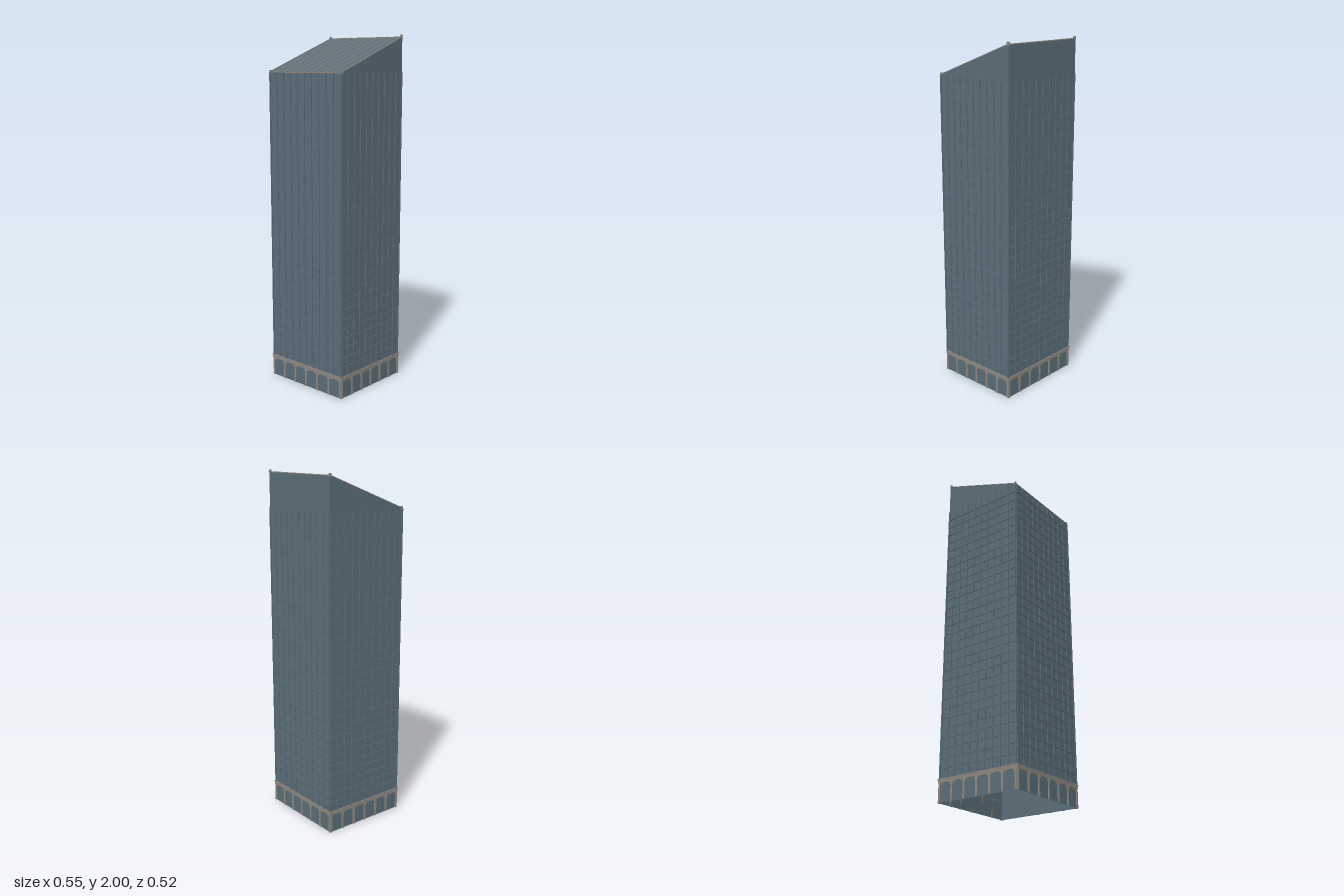
import * as THREE from 'three';

const material = (name, color, side = THREE.FrontSide) => {
  const m = new THREE.MeshStandardMaterial({ color, side });
  m.name = name;
  return m;
};

export function createModel() {
  const glass = material('blue grey glass', 0x5a6d78, THREE.DoubleSide);
  const stone = material('grey stone', 0x8d8880);

  const X = 0.27, Z = 0.255;          // half width and half depth of the walls
  const BASE = 0.125, EAVE = 1.795, RIDGE = 1.988;
  const tower = new THREE.Group();
  tower.name = 'tower';

  const add = (parent, name, geometry, mat, x = 0, y = 0, z = 0) => {
    const mesh = new THREE.Mesh(geometry, mat);
    mesh.name = name;
    mesh.position.set(x, y, z);
    parent.add(mesh);
  };
  const box = (parent, name, w, h, d, mat, x, y, z) =>
    add(parent, name, new THREE.BoxGeometry(w, h, d), mat, x, y, z);

  // Flat quad from four corners, counter-clockwise from outside
  const quad = (name, ...corners) => {
    const g = new THREE.BufferGeometry();
    g.setAttribute('position', new THREE.Float32BufferAttribute(corners.flat(), 3));
    g.setIndex([0, 1, 2, 0, 2, 3]);
    g.computeVertexNormals();
    add(tower, name, g, glass);
  };

  // Hollow glass shell, open underneath, with a sloping roof
  quad('frontWall', [-X, 0, Z], [X, 0, Z], [X, EAVE, Z], [-X, EAVE, Z]);
  quad('backWall', [X, 0, -Z], [-X, 0, -Z], [-X, RIDGE, -Z], [X, RIDGE, -Z]);
  quad('leftWall', [X, 0, Z], [X, 0, -Z], [X, RIDGE, -Z], [X, EAVE, Z]);
  quad('rightWall', [-X, 0, -Z], [-X, 0, Z], [-X, EAVE, Z], [-X, RIDGE, -Z]);
  quad('roof', [-X, EAVE, Z], [X, EAVE, Z], [X, RIDGE, -Z], [-X, RIDGE, -Z]);

  // Pair of curved corner pieces that turn one base bay into an arch
  const spandrels = (half) => [-1, 1].map((s) => {
    const shape = new THREE.Shape();
    shape.moveTo(s * half, 0.108).lineTo(s * half, 0.078);
    shape.quadraticCurveTo(s * half * 0.9, 0.1, s * half * 0.4, 0.104);
    shape.lineTo(s * half * 0.4, 0.108).closePath();
    return new THREE.ExtrudeGeometry(shape, { depth: 0.002, bevelEnabled: false, curveSegments: 4 });
  });

  // Four facades: glass grid bars above, stone arches below
  const BAYS = 10, FLOORS = 30, ARCHES = 6, step = (EAVE - BASE) / FLOORS;
  for (let side = 0; side < 4; side++) {
    const facade = new THREE.Group();
    facade.name = ['frontFacade', 'leftFacade', 'backFacade', 'rightFacade'][side];
    facade.rotation.y = side * Math.PI / 2;
    tower.add(facade);
    const w = side % 2 ? Z : X, d = side % 2 ? X : Z;

    for (let i = 0; i <= BAYS; i++) {
      const x = -w + 0.003 + (2 * w - 0.006) * i / BAYS;
      box(facade, 'mullion', 0.006, EAVE - BASE, 0.005, glass, x, (EAVE + BASE) / 2, d + 0.0025);
    }
    for (let j = 1; j < FLOORS; j++) {
      box(facade, 'floorBar', 2 * w, 0.006, 0.0046, glass, 0, BASE + step * j, d + 0.0023);
    }

    const bay = (2 * w - 0.01) / ARCHES;
    for (let i = 0; i <= ARCHES; i++) {
      const x = -w + 0.005 + bay * i;
      box(facade, 'pier', 0.012, 0.108, 0.005, stone, x, 0.054, d + 0.0025);
      if (i < ARCHES) {
        for (const g of spandrels(bay / 2 - 0.005)) add(facade, 'archCorner', g, stone, x + bay / 2, 0, d);
      }
    }
    box(facade, 'baseBand', 2 * w + 0.008, 0.018, 0.005, stone, 0, 0.114, d + 0.0025);
    box(facade, 'baseCornice', 2 * w + 0.013, 0.006, 0.0065, stone, 0, BASE - 0.001, d + 0.00325);
  }

  // Standing seams along the roof slope
  const rise = RIDGE - EAVE, length = Math.hypot(2 * Z, rise);
  const seams = new THREE.Group();
  seams.name = 'roofSeams';
  seams.position.y = (EAVE + RIDGE) / 2;
  seams.rotation.x = Math.atan2(rise, 2 * Z);
  tower.add(seams);
  for (let i = 0; i <= 10; i++) {
    box(seams, 'seam', 0.005, 0.004, length, stone, -X + 2 * X * i / 10, 0.002, 0);
  }

  // Eave and ridge rails, and a small post at each roof corner
  for (const [z, y] of [[Z, EAVE], [-Z, RIDGE]]) {
    box(tower, 'roofRail', 2 * X + 0.004, 0.005, 0.005, stone, 0, y, z);
    for (const s of [-1, 1]) {
      box(tower, 'cornerPost', 0.011, 0.02, 0.011, stone, s * 0.267, y + 0.002, z * 0.98);
    }
  }
  return tower;
}
